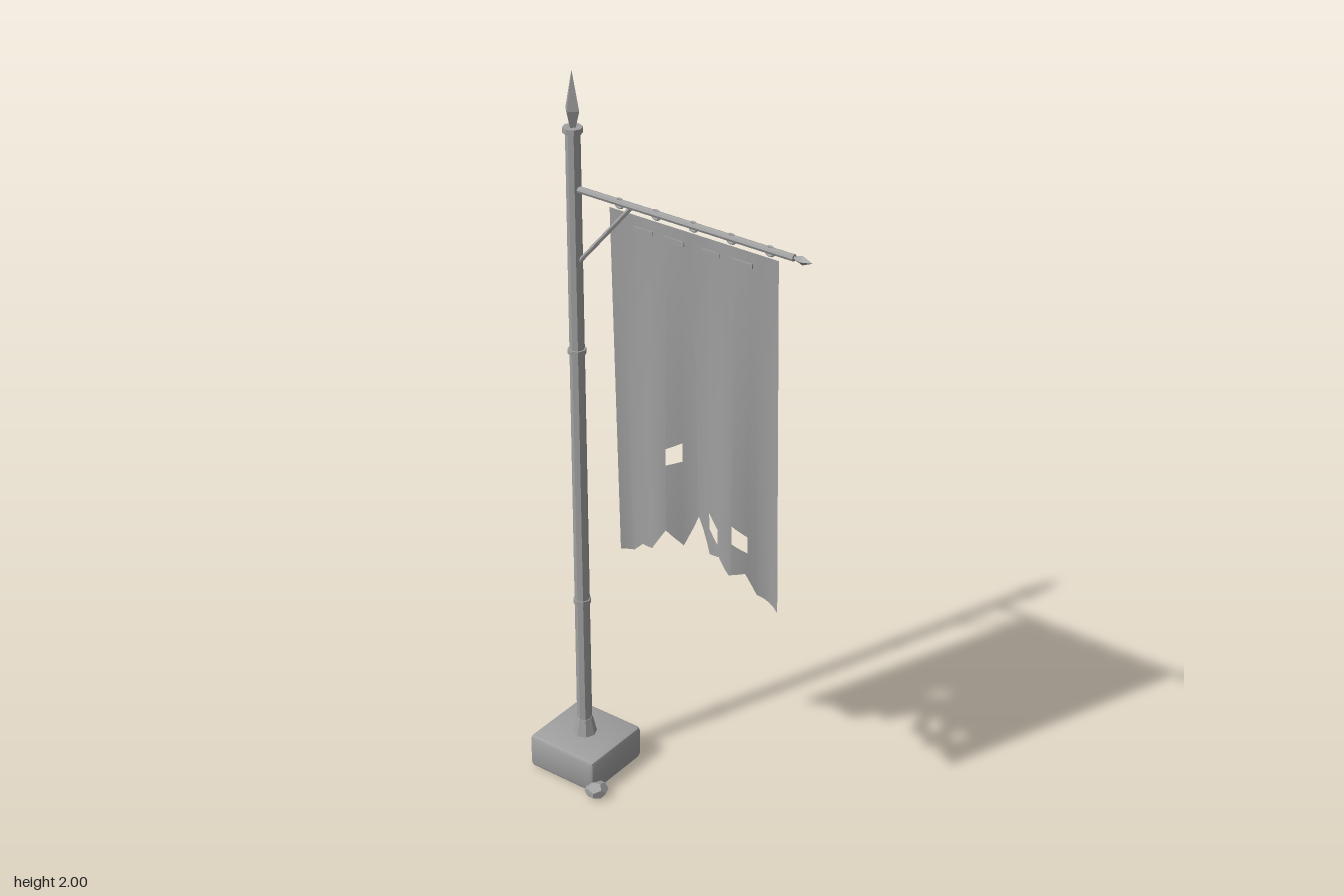
import * as THREE from 'three';
import { mergeVertices, toCreasedNormals } from 'three/addons/utils/BufferGeometryUtils.js';
import { RoundedBoxGeometry } from 'three/addons/geometries/RoundedBoxGeometry.js';

const PX = -0.293, Z = -0.014, BAR_Y = 1.7, TOP = 1.68;

// Hem outline from the pole side outwards
const HEM = [[-0.185, 0.71], [-0.15, 0.715], [-0.11, 0.755], [-0.06, 0.775], [-0.02, 0.84], [0.02, 0.8],
  [0.06, 0.895], [0.1, 0.805], [0.145, 0.825], [0.177, 0.785], [0.215, 0.795], [0.24, 0.735], [0.303, 0.705]];

// Torn holes with upright sides: left x, right x, top and bottom y at each side
const HOLES = [
  { l: -0.02, r: 0.02, top: [1.075, 1.098], bottom: [1.028, 1.046] },
  { l: 0.1, r: 0.14, top: [0.925, 0.9], bottom: [0.88, 0.857] },
  { l: 0.183, r: 0.22, top: [0.928, 0.902], bottom: [0.877, 0.855] },
];

const lerp = THREE.MathUtils.lerp;

function hemY(x) {
  let i = 0;
  while (i < HEM.length - 2 && x > HEM[i + 1][0]) i++;
  const [a, b] = [HEM[i], HEM[i + 1]];
  return lerp(a[1], b[1], (x - a[0]) / (b[0] - a[0]));
}

// Folds deepen towards the hem
function clothZ(x, y) {
  const t = (TOP - y) / 0.97;
  return Z - t * (0.018 + 0.022 * Math.cos(2 * Math.PI * (x + 0.15) / 0.21));
}

function clothGeometry() {
  const xs = HEM.map(p => p[0]);
  HOLES.forEach(h => xs.push(h.l, h.r));
  for (let i = 1; i < 32; i++) xs.push(lerp(-0.185, 0.303, i / 32));
  xs.sort((a, b) => a - b);
  const cols = xs.filter((x, i) => i === 0 || x - xs[i - 1] > 1e-6);
  const pos = [];
  const put = (x, y) => pos.push(x, y, clothZ(x, y));
  // One strip between two columns, from upper to lower edge
  function strip(x0, x1, up, low) {
    const rows = 10;
    const y = (side, j) => lerp(up[side], low[side], j / rows);
    for (let j = 0; j < rows; j++) {
      put(x0, y(0, j)); put(x0, y(0, j + 1)); put(x1, y(1, j + 1));
      put(x0, y(0, j)); put(x1, y(1, j + 1)); put(x1, y(1, j));
    }
  }
  for (let i = 0; i < cols.length - 1; i++) {
    const [x0, x1] = [cols[i], cols[i + 1]];
    const mid = (x0 + x1) / 2;
    const hem = [hemY(x0), hemY(x1)];
    const hole = HOLES.find(h => mid > h.l && mid < h.r);
    if (!hole) {
      strip(x0, x1, [TOP, TOP], hem);
      continue;
    }
    const edge = e => [x0, x1].map(x => lerp(e[0], e[1], (x - hole.l) / (hole.r - hole.l)));
    strip(x0, x1, [TOP, TOP], edge(hole.top));
    strip(x0, x1, edge(hole.bottom), hem);
  }
  const g = new THREE.BufferGeometry();
  g.setAttribute('position', new THREE.Float32BufferAttribute(pos, 3));
  const merged = mergeVertices(g, 1e-5);
  merged.computeVertexNormals();
  return merged;
}

export function createModel() {
  const model = new THREE.Group();
  model.name = 'bannerPole';
  const grey = new THREE.MeshStandardMaterial({ color: 0xa0a0a0, side: THREE.DoubleSide });
  grey.name = 'grey';

  function add(name, geometry, x, y, z, parent = model) {
    const mesh = new THREE.Mesh(geometry, grey);
    mesh.name = name;
    mesh.position.set(x, y, z);
    parent.add(mesh);
    return mesh;
  }
  const faceted = g => toCreasedNormals(g, 0.6);
  const prism = (rTop, rBottom, h, sides = 8) => faceted(new THREE.CylinderGeometry(rTop, rBottom, h, sides));

  // Four-sided point with a short lower and a long upper half
  function spike(name, r, base, low, high) {
    const group = new THREE.Group();
    group.name = name;
    add(name + 'Lower', prism(r, base, low, 4), 0, low / 2, 0, group);
    add(name + 'Upper', prism(0, r, high, 4), 0, low + high / 2, 0, group);
    model.add(group);
    return group;
  }

  // Stone foot and loose rock
  add('baseBlock', faceted(new RoundedBoxGeometry(0.217, 0.1, 0.214, 1, 0.012)), -0.2915, 0.053, -0.015);
  const rock = add('looseRock', faceted(new THREE.DodecahedronGeometry(1, 0)), -0.175, 0.021, 0.087);
  rock.scale.set(0.032, 0.021, 0.034);
  rock.rotation.y = 0.4;

  // Pole with its flare, bands and cap
  add('pole', prism(0.0185, 0.0205, 1.75), PX, 0.975, Z);
  add('poleFlare', prism(0.022, 0.033, 0.05), PX, 0.127, Z);
  for (const y of [0.525, 1.262]) add('poleBand', prism(0.0235, 0.0235, 0.014), PX, y, Z);
  add('poleCap', prism(0.025, 0.025, 0.014), PX, 1.85, Z);
  spike('finial', 0.021, 0.009, 0.045, 0.1).position.set(PX, 1.855, Z);

  // Crossbar, its pointed end and the brace
  add('crossbar', prism(0.0088, 0.0088, 0.625), 0.0325, BAR_Y, Z).rotation.z = -Math.PI / 2;
  const tip = spike('crossbarTip', 0.012, 0.004, 0.022, 0.028);
  tip.position.set(0.345, BAR_Y, Z);
  tip.rotation.z = -Math.PI / 2;
  const from = new THREE.Vector3(-0.28, 1.51, Z), to = new THREE.Vector3(-0.122, 1.694, Z);
  const brace = add('brace', prism(0.006, 0.006, from.distanceTo(to), 6), 0, 0, 0);
  brace.position.copy(from).lerp(to, 0.5);
  brace.rotation.z = -Math.atan2(to.x - from.x, to.y - from.y);

  // Hanging rings
  for (let i = 0; i < 5; i++) {
    add('hangingRing', new THREE.TorusGeometry(0.0115, 0.0035, 6, 14), -0.155 + i * 0.1083, BAR_Y - 0.002, Z);
  }

  // Torn cloth with stitched slots along the top
  add('cloth', clothGeometry(), 0, 0, 0);
  for (const x of [-0.085, 0.007, 0.11, 0.203]) {
    add('stitch', new THREE.BoxGeometry(0.055, 0.012, 0.006), x, 1.645, clothZ(x, 1.645));
  }
  return model;
}
